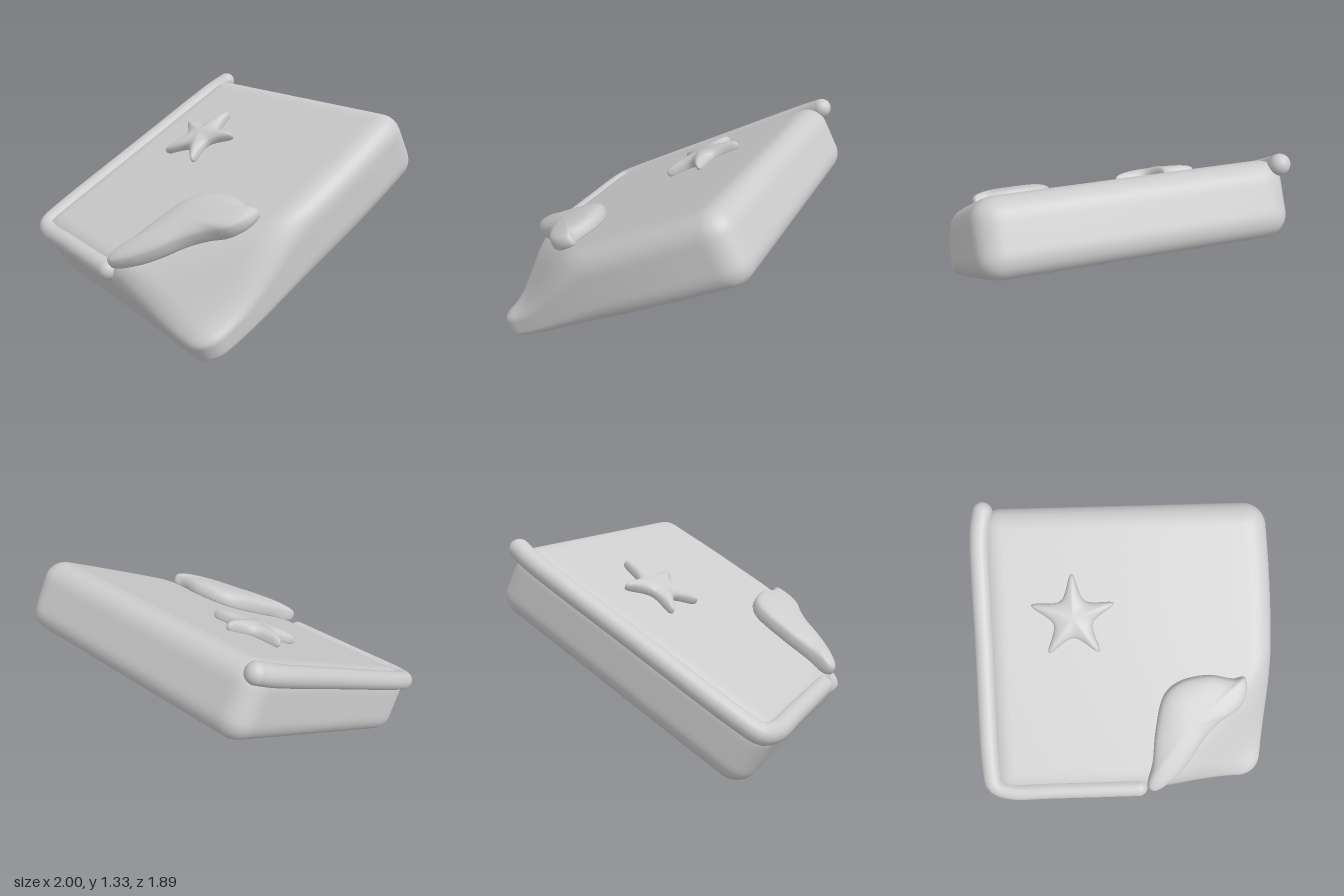
import * as THREE from 'three';
import { mergeVertices } from 'three/addons/utils/BufferGeometryUtils.js';

const TILT = 0.511; // slope of the whole slab, leaning down toward the front

function smooth(geo) {
  geo.deleteAttribute('normal');
  geo.deleteAttribute('uv');
  const g = mergeVertices(geo, 1e-4);
  g.computeVertexNormals();
  return g;
}

// Closed cushion over a smooth outline of [x, z] points, counterclockwise from above
function pillow(outline, [cx, cz], cy, half, power, steps = 80, rings = 20) {
  const curve = new THREE.CatmullRomCurve3(
    outline.map(([x, z]) => new THREE.Vector3(x, 0, z)), true, 'centripetal');
  const rim = Array.from({ length: steps }, (_, j) => curve.getPoint(j / steps));
  const pos = [], index = [];
  for (let i = 0; i <= rings; i++) {
    const phi = (i / rings) * Math.PI, t = Math.sin(phi), c = Math.cos(phi);
    const y = cy + half * Math.sign(c) * Math.pow(Math.abs(c), power);
    for (const p of rim) pos.push(cx + (p.x - cx) * t, y, cz + (p.z - cz) * t);
  }
  for (let i = 0; i < rings; i++) {
    for (let j = 0; j < steps; j++) {
      const k = (j + 1) % steps;
      const a = i * steps + j, b = a + steps, c = (i + 1) * steps + k, d = i * steps + k;
      index.push(a, b, c, a, c, d);
    }
  }
  const g = new THREE.BufferGeometry();
  g.setAttribute('position', new THREE.Float32BufferAttribute(pos, 3));
  g.setIndex(index);
  return smooth(g);
}

// Rounded block with a bulging right side and a sunken front right corner
function slabGeometry() {
  const lo = new THREE.Vector3(-0.94, 0.31, -1.32);
  const hi = new THREE.Vector3(0.94, 0.78, 0.62);
  const r = 0.14;
  const size = hi.clone().sub(lo), mid = hi.clone().add(lo).multiplyScalar(0.5);
  const g = new THREE.BoxGeometry(size.x, size.y, size.z, 56, 18, 56);
  g.translate(mid.x, mid.y, mid.z);
  const inLo = lo.clone().addScalar(r), inHi = hi.clone().addScalar(-r);
  const p = new THREE.Vector3(), q = new THREE.Vector3(), pos = g.attributes.position;
  for (let i = 0; i < pos.count; i++) {
    p.fromBufferAttribute(pos, i);
    q.copy(p).clamp(inLo, inHi);
    p.sub(q).setLength(r).add(q);
    const up = (p.y - lo.y) / size.y;
    const along = (p.z - mid.z) / (size.z / 2);
    if (p.x > 0) p.x += 0.055 * (p.x / hi.x) * Math.max(0, 1 - along * along);
    const fold = (p.x - 0.13) * 0.746 + (p.z - 0.6) * 0.666;
    p.y -= 0.26 * up * THREE.MathUtils.smoothstep(fold, -0.02, 0.5);
    pos.setXYZ(i, p.x, p.y, p.z);
  }
  return smooth(g);
}

export function createModel() {
  const grey = new THREE.MeshStandardMaterial({ color: 0xcccccc });
  grey.name = 'light grey';
  const model = new THREE.Group();
  model.name = 'tiltedBook';
  const tilted = new THREE.Group();
  tilted.name = 'tiltedBody';
  tilted.rotation.x = TILT;
  tilted.position.y = -0.01;
  model.add(tilted);

  const add = (name, geo, parent = tilted) => {
    const m = new THREE.Mesh(geo, grey);
    m.name = name;
    parent.add(m);
    return m;
  };

  add('slab', slabGeometry());

  // Rolled border down the right side and along the front
  const border = new THREE.Group();
  border.name = 'border';
  tilted.add(border);
  const path = [[-0.9, -1.3], [-0.925, -1.18], [-0.935, -0.4], [-0.935, 0.42],
    [-0.915, 0.54], [-0.82, 0.585], [-0.5, 0.59], [0.07, 0.59]]
    .map(([x, z]) => new THREE.Vector3(x, 0.73, z));
  const curve = new THREE.CatmullRomCurve3(path, false, 'centripetal');
  add('borderRoll', new THREE.TubeGeometry(curve, 90, 0.065, 18), border);
  for (const end of [path[0], path[path.length - 1]]) {
    add('borderEnd', new THREE.SphereGeometry(0.065, 18, 12), border).position.copy(end);
  }

  // Turned-up corner of the cover
  add('curledCorner', pillow([[0.13, 0.56], [0.17, 0.59], [0.3, 0.51], [0.42, 0.37],
    [0.52, 0.22], [0.63, 0.11], [0.75, 0.02], [0.8, -0.08], [0.79, -0.18], [0.72, -0.17],
    [0.55, -0.2], [0.35, -0.16], [0.25, -0.07], [0.19, 0.17], [0.165, 0.4]],
    [0.4, 0.13], 0.82, 0.085, 0.6));

  // Puffy five-pointed star
  const star = [];
  for (let i = 0; i < 10; i++) {
    const a = Math.PI / 2 + (i * Math.PI) / 5, r = i % 2 ? 0.135 : 0.285;
    star.push([-0.335 + r * Math.cos(a), -0.605 - r * Math.sin(a)]);
  }
  add('star', pillow(star, [-0.335, -0.605], 0.805, 0.055, 0.7));

  return model;
}
